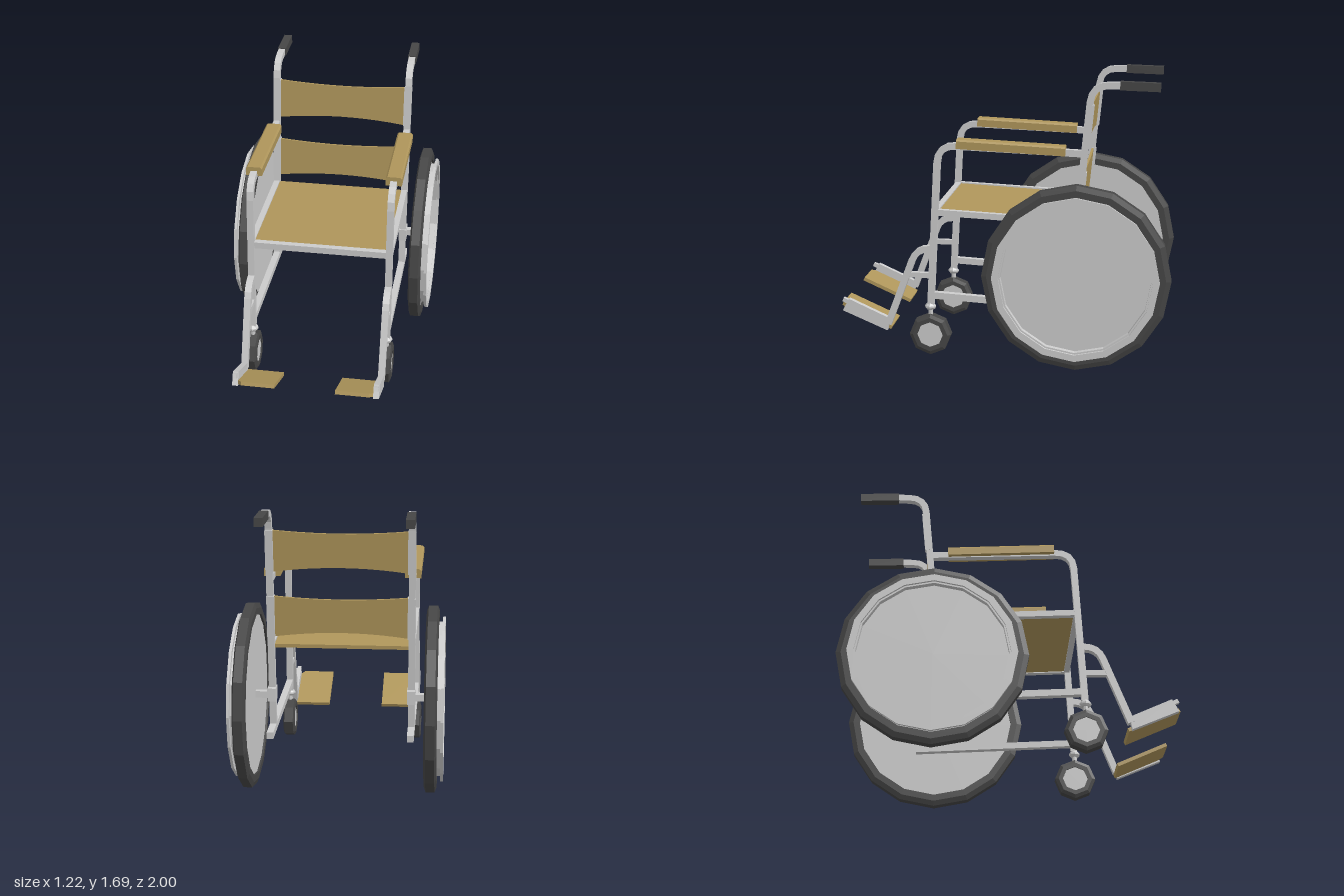
import * as THREE from 'three';

const mat = (color) => new THREE.MeshStandardMaterial({ color, flatShading: true });
const GREY = mat(0xcccccc), TAN = mat(0xaf965b), BLACK = mat(0x464646);

// Polyline with rounded corners; points are [z, y], a third value is the bend size
function rounded(points) {
  const v = points.map((p) => new THREE.Vector2(p[0], p[1]));
  return v.flatMap((p, i) => {
    const r = points[i][2];
    if (!r) return [p];
    const a = p.clone().add(v[i - 1].clone().sub(p).setLength(r));
    const b = p.clone().add(v[i + 1].clone().sub(p).setLength(r));
    return new THREE.QuadraticBezierCurve(a, p, b).getPoints(4);
  });
}

// Outline in the z-y plane extruded across x, centred on x = 0
function slab(outline, depth) {
  const g = new THREE.ExtrudeGeometry(new THREE.Shape(outline), { depth, bevelEnabled: false });
  return g.translate(0, 0, -depth / 2).rotateY(-Math.PI / 2);
}

// Square tube (or flat board) following a path in the z-y plane
function bar(points, width = 0.04, depth = width) {
  const path = rounded(points), left = [], right = [];
  path.forEach((p, i) => {
    const d1 = p.clone().sub(path[Math.max(i - 1, 0)]).normalize();
    const d2 = path[Math.min(i + 1, path.length - 1)].clone().sub(p).normalize();
    const t = d1.add(d2).normalize();
    const n = new THREE.Vector2(-t.y, t.x).multiplyScalar(width / 2);
    left.push(p.clone().add(n));
    right.unshift(p.clone().sub(n));
  });
  return slab([...left, ...right], depth);
}

function add(parent, name, geometry, material, x = 0, y = 0, z = 0) {
  const m = new THREE.Mesh(geometry, material);
  m.name = name;
  m.position.set(x, y, z);
  parent.add(m);
  return m;
}

// Ring or disc turned around the wheel axis; profile is [radius, offset along axle]
const turned = (profile, sides) =>
  new THREE.LatheGeometry(profile.map(([r, h]) => new THREE.Vector2(r, h)), sides);
const ring = (r0, r1, h0, h1, sides) =>
  turned([[r0, h0], [r1, h0], [r1, h1], [r0, h1], [r0, h0]], sides);

const postZ = (y) => -0.465 - 0.1 * (y - 1.1);
const LEAN = -0.1;

function driveWheel(s) {
  const w = new THREE.Group();
  w.name = 'driveWheel';
  add(w, 'tyre', turned([[0.485, -0.037], [0.525, -0.037], [0.555, -0.026], [0.555, 0.026],
    [0.525, 0.037], [0.485, 0.037], [0.485, -0.037]], 16), BLACK);
  add(w, 'wheelDisc', new THREE.CylinderGeometry(0.488, 0.488, 0.05, 16), GREY);
  add(w, 'rim', ring(0.44, 0.458, 0.02, 0.06, 16), GREY);
  add(w, 'pushRim', ring(0.45, 0.49, 0.058, 0.074, 16), GREY);
  w.rotation.z = -s * Math.PI / 2;
  w.position.set(s * 0.537, 0.557, -0.445);
  return w;
}

function caster(s) {
  const c = new THREE.Group();
  c.name = 'caster';
  const wheel = new THREE.Group();
  wheel.name = 'casterWheel';
  add(wheel, 'casterTyre', turned([[0.078, -0.037], [0.105, -0.037], [0.126, -0.028],
    [0.126, 0.028], [0.105, 0.037], [0.078, 0.037], [0.078, -0.037]], 8), BLACK);
  add(wheel, 'casterHub', new THREE.CylinderGeometry(0.08, 0.08, 0.06, 8), GREY);
  wheel.rotation.z = -s * Math.PI / 2;
  wheel.position.y = 0.147;
  c.add(wheel);
  add(c, 'casterStem', new THREE.CylinderGeometry(0.015, 0.015, 0.12, 8), GREY, 0, 0.29);
  add(c, 'casterFlange', turned([[0, 0.3], [0.025, 0.3], [0.034, 0.312], [0.034, 0.322],
    [0.02, 0.34], [0, 0.34]], 8), GREY);
  c.position.set(s * 0.415, 0, 0.44);
  return c;
}

function footrest(s) {
  const f = new THREE.Group();
  f.name = 'footrest';
  const x = s * 0.415;
  add(f, 'footrestTube', bar([[0.41, 0.675], [0.52, 0.675, 0.08], [0.7, 0.2]]), GREY, x);
  add(f, 'footrestBrace', bar([[0.43, 0.51], [0.57, 0.512]], 0.032), GREY, x);
  add(f, 'footrestBracket', slab([[0.705, 0.158], [0.98, 0.275], [0.94, 0.348], [0.69, 0.235]]
    .map(([z, y]) => new THREE.Vector2(z, y)), 0.034), GREY, x);
  add(f, 'bracketPin', bar([[0.93, 0.32], [0.978, 0.342]], 0.025), GREY, x);
  // Sloping board with a clipped outer front corner
  const board = new THREE.Shape([[0.178, 0], [0.4, 0], [0.4, 0.305], [0.375, 0.335], [0.178, 0.335]]
    .map(([px, pz]) => new THREE.Vector2(s * px, -pz)));
  const geo = new THREE.ExtrudeGeometry(board, { depth: 0.022, bevelEnabled: false }).rotateX(-Math.PI / 2);
  add(f, 'footplate', geo, TAN, 0, 0.157, 0.69).rotation.x = -0.42;
  return f;
}

function armrest() {
  const section = new THREE.Shape([[-0.048, -0.027], [0.048, -0.027], [0.048, 0.017],
    [0.038, 0.027], [-0.038, 0.027], [-0.048, 0.017]].map((p) => new THREE.Vector2(...p)));
  return new THREE.ExtrudeGeometry(section, { depth: 0.64, bevelEnabled: false }).translate(0, 0, -0.32);
}

// Sling panel whose top and bottom edges sag toward the middle
function sling() {
  const s = new THREE.Shape();
  s.moveTo(-0.4, -0.125);
  s.quadraticCurveTo(0, -0.067, 0.4, -0.125);
  s.lineTo(0.4, 0.125);
  s.quadraticCurveTo(0, 0.087, -0.4, 0.125);
  return new THREE.ExtrudeGeometry(s, { depth: 0.014, bevelEnabled: false, curveSegments: 10 })
    .translate(0, 0, -0.007);
}

export function createModel() {
  const model = new THREE.Group();
  model.name = 'wheelchair';
  const chair = new THREE.Group();
  chair.name = 'chair';
  chair.position.x = -0.005;
  model.add(chair);

  // Seat and cross bar
  add(chair, 'seat', bar([[0.4, 0.9], [-0.44, 0.856]], 0.022, 0.8), TAN);
  add(chair, 'seatFrontBar', new THREE.BoxGeometry(0.8, 0.04, 0.036), GREY, 0, 0.898, 0.4);

  // Back slings
  for (const [name, y] of [['upperBackrest', 1.435], ['lowerBackrest', 1.04]]) {
    add(chair, name, sling(), TAN, 0, y, postZ(y)).rotation.x = LEAN;
    for (const s of [-1, 1]) {
      add(chair, name + 'Sleeve', new THREE.BoxGeometry(0.046, 0.25, 0.046), GREY,
        s * 0.413, y, postZ(y)).rotation.x = LEAN;
    }
  }

  for (const s of [-1, 1]) {
    const x = s * 0.415;
    // Side frame
    add(chair, 'frontPostAndArm', bar([[0.437, 0.335], [0.384, 1.305, 0.11], [-0.47, 1.272]]), GREY, x);
    add(chair, 'backPost', bar([[postZ(0.33), 0.33], [-0.518, 1.672, 0.1], [-0.72, 1.672]]), GREY, x);
    add(chair, 'seatRail', bar([[0.4, 0.9], [-0.44, 0.86]], 0.036), GREY, x);
    add(chair, 'lowerRail', bar([[0.43, 0.39], [-0.56, 0.335]]), GREY, x);
    // Hand grip and arm pad
    add(chair, 'handGrip', bar([[-0.68, 1.672], [-0.912, 1.665]], 0.05), BLACK, x);
    add(chair, 'armPad', armrest(), TAN, x, 1.303, -0.05).rotation.x = -0.047;
    // Axle
    add(chair, 'axleBracket', new THREE.BoxGeometry(0.05, 0.08, 0.09), GREY, x, 0.56, -0.43);
    add(chair, 'axle', new THREE.BoxGeometry(0.12, 0.04, 0.04), GREY, s * 0.47, 0.56, -0.445);
    chair.add(driveWheel(s), caster(s), footrest(s));
  }
  return model;
}
